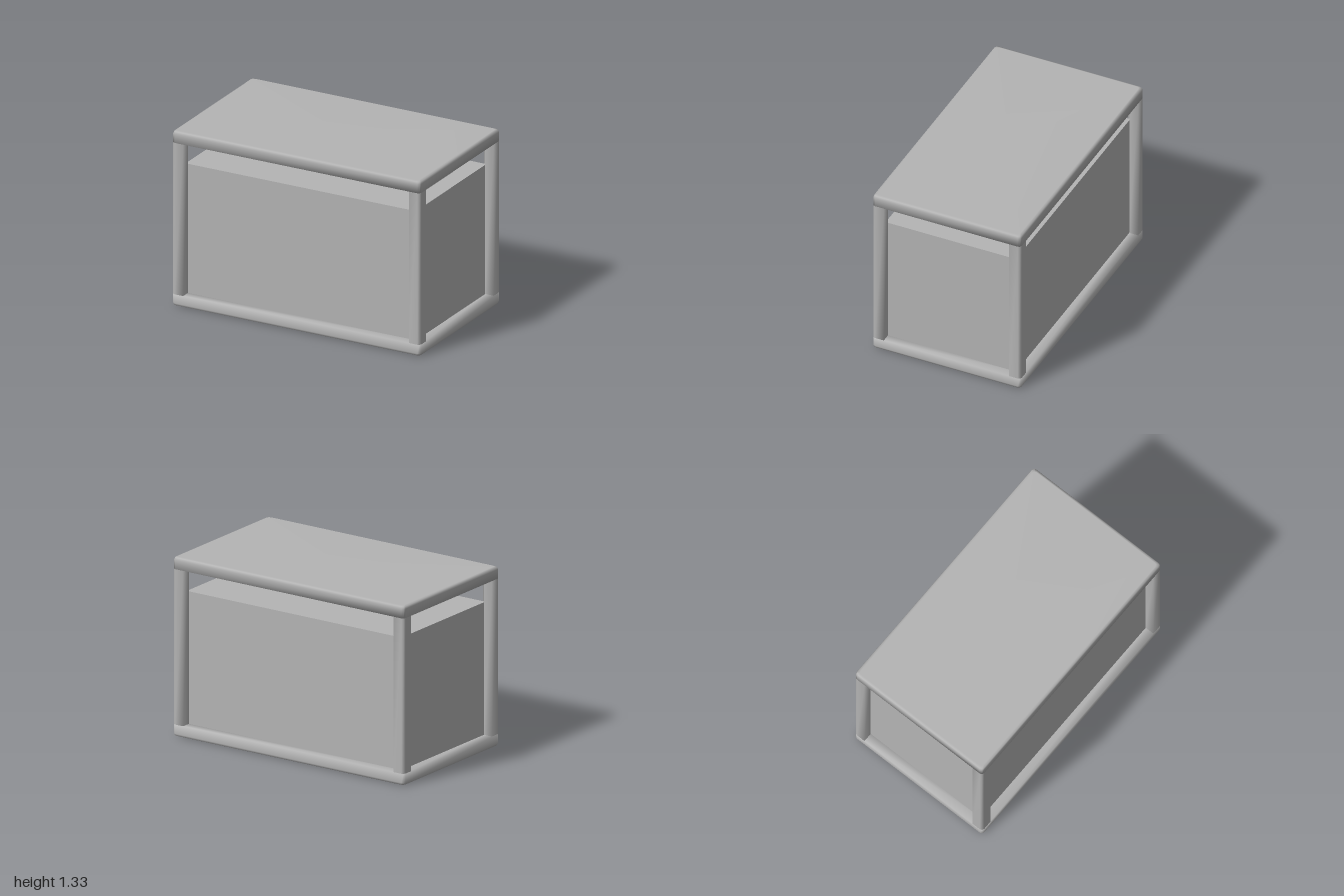
import * as THREE from 'three';

const HX = 1, HZ = 0.58, H = 1.33;      // half width, half depth, height
const BAR = 0.09, WALL = 0.07, R = 0.022; // bar width, wall thickness, edge radius

// Skin between closed rings of [x, y, z] points, with optional flat ends
function loft(rings, capped) {
  const n = rings[0].length, points = rings.flat(), index = [];
  for (let r = 0; r < rings.length - 1; r++) {
    for (let i = 0; i < n; i++) {
      const a = r * n + i, b = r * n + (i + 1) % n;
      index.push(a, a + n, b, b, a + n, b + n);
    }
  }
  if (capped) {
    const last = (rings.length - 1) * n, c = points.length;
    points.push([0, rings[0][0][1], 0], [0, rings.at(-1)[0][1], 0]);
    for (let i = 0; i < n; i++) {
      const j = (i + 1) % n;
      index.push(c, i, j, c + 1, last + j, last + i);
    }
  }
  const geometry = new THREE.BufferGeometry();
  geometry.setAttribute('position', new THREE.Float32BufferAttribute(points.flat(), 3));
  geometry.setIndex(index);
  geometry.computeVertexNormals();
  return geometry;
}

// Rounded rectangle at a given inset and height
function rectRing(inset, y) {
  const ring = [];
  [[1, -1], [1, 1], [-1, 1], [-1, -1]].forEach(([sx, sz], k) => {
    for (let s = 0; s <= 2; s++) {
      const t = (k - 1 + s / 2) * Math.PI / 2;
      ring.push([
        sx * (HX - inset - R) + R * Math.cos(t), y,
        sz * (HZ - inset - R) + R * Math.sin(t),
      ]);
    }
  });
  return ring;
}

export function createModel() {
  const group = new THREE.Group();
  const grey = new THREE.MeshStandardMaterial({ color: 0xb4b4b4 });
  grey.name = 'grey';

  const add = (name, geometry) => {
    const mesh = new THREE.Mesh(geometry, grey);
    mesh.name = name;
    group.add(mesh);
    return mesh;
  };

  // Base and lid: shallow trays with a rounded outer edge and a raised rim
  const k = R * (1 - Math.SQRT1_2);
  const tray = loft([
    rectRing(R, 0), rectRing(k, k), rectRing(0, R), rectRing(0, BAR),
    rectRing(WALL, BAR), rectRing(WALL, WALL),
  ], true);
  add('base', tray);
  const lid = add('lid', tray);
  lid.rotation.x = Math.PI;
  lid.position.y = H;

  // Corner posts: L-shaped section, turned a quarter for each corner
  const section = [[0, BAR], [0, R], [k, k], [R, 0], [BAR, 0], [BAR, WALL], [WALL, WALL], [WALL, BAR]];
  const post = loft([BAR, H - BAR].map(y => section.map(([x, z]) => [x, y, z])), false);
  [[-1, -1], [-1, 1], [1, 1], [1, -1]].forEach(([sx, sz], i) => {
    const mesh = add('cornerPost', post);
    mesh.position.set(sx * HX, 0, sz * HZ);
    mesh.rotation.y = i * Math.PI / 2;
  });

  // Contents: a block filling the inside up to a gap below the lid
  const top = 1.07;
  const block = add('innerBlock', new THREE.BoxGeometry(
    2 * (HX - WALL) - 0.002, top - WALL, 2 * (HZ - WALL) - 0.002));
  block.position.y = (top + WALL) / 2;

  return group;
}
